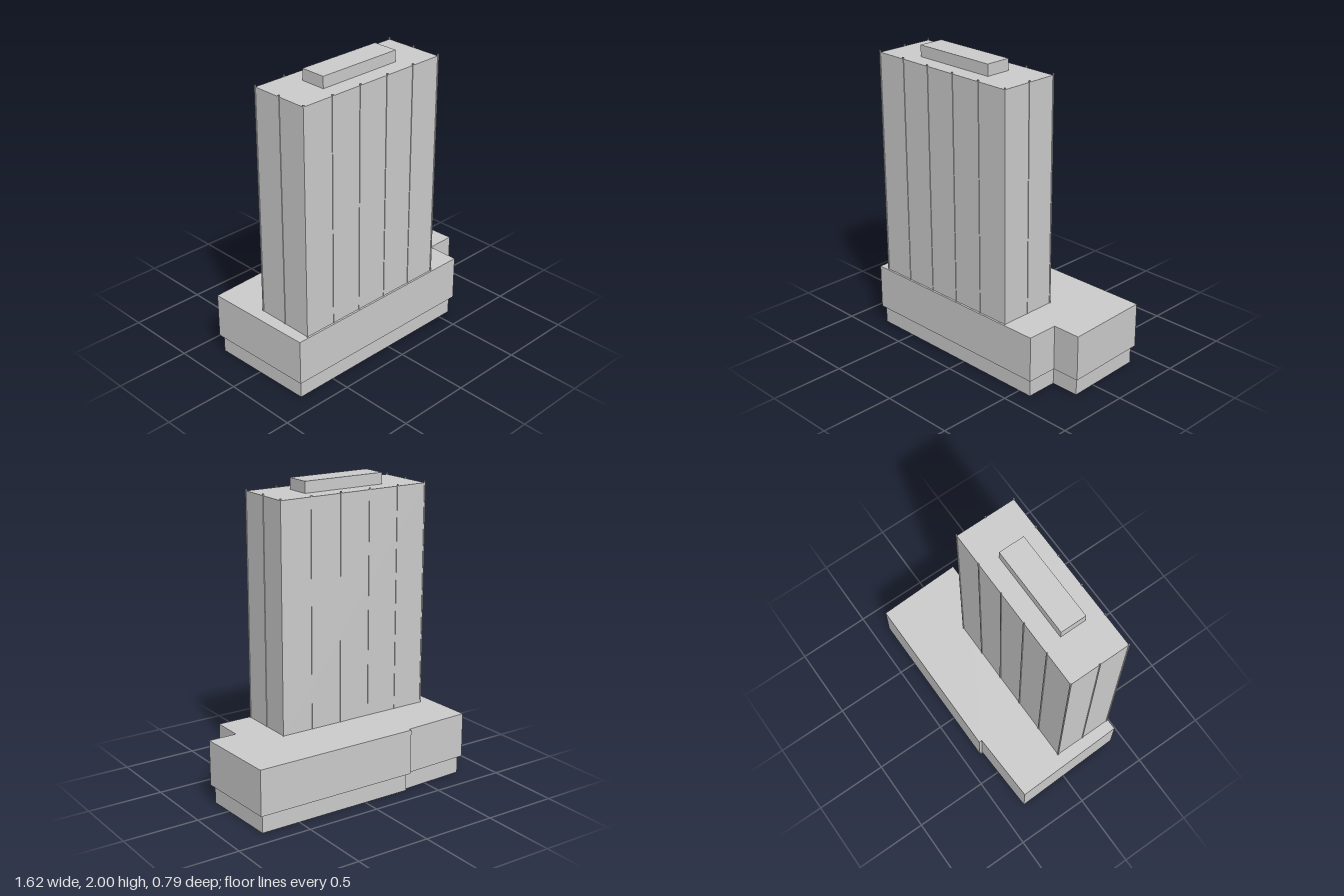
import * as THREE from 'three';

export function createModel() {
  const model = new THREE.Group();
  model.name = 'towerBuilding';

  const concrete = new THREE.MeshStandardMaterial({ color: 0xcccccc });
  concrete.name = 'light grey concrete';
  const shell = new THREE.MeshStandardMaterial({ color: 0xcccccc, side: THREE.DoubleSide });
  shell.name = 'light grey thin wall';

  function add(name, geometry, material = concrete, parent = model) {
    const mesh = new THREE.Mesh(geometry, material);
    mesh.name = name;
    parent.add(mesh);
    return mesh;
  }

  // Box given by its limits on each axis
  function block(name, [x0, x1], [y0, y1], [z0, z1], parent = model) {
    const mesh = add(name, new THREE.BoxGeometry(x1 - x0, y1 - y0, z1 - z0), concrete, parent);
    mesh.position.set((x0 + x1) / 2, (y0 + y1) / 2, (z0 + z1) / 2);
  }

  // Podium: solid slab over an irregular plan, corners as [x, z]
  const podiumPlan = [
    [-0.81, -0.36], [-0.345, -0.38], [-0.345, -0.4], [0.785, -0.4],
    [0.805, 0.18], [0.612, 0.18], [0.612, 0.393], [-0.79, 0.393],
  ];
  const outline = new THREE.Shape(podiumPlan.map(([x, z]) => new THREE.Vector2(x, -z)));
  const podium = new THREE.ExtrudeGeometry(outline, { depth: 0.302, bevelEnabled: false });
  podium.rotateX(-Math.PI / 2).translate(0, 0.12, 0);
  add('podium', podium);

  // Recessed ground floor: thin walls, open underneath
  const basePlan = [
    [-0.79, -0.341], [-0.325, -0.361], [-0.325, -0.38], [0.766, -0.38],
    [0.784, 0.161], [0.592, 0.161], [0.592, 0.373], [-0.771, 0.373],
  ];
  const corners = [];
  basePlan.forEach(([ax, az], i) => {
    const [bx, bz] = basePlan[(i + 1) % basePlan.length];
    corners.push(ax, 0, az, ax, 0.12, az, bx, 0.12, bz);
    corners.push(ax, 0, az, bx, 0.12, bz, bx, 0, bz);
  });
  const walls = new THREE.BufferGeometry();
  walls.setAttribute('position', new THREE.Float32BufferAttribute(corners, 3));
  walls.computeVertexNormals();
  add('groundFloorWalls', walls, shell);

  // Tower and rooftop plant room
  const left = -0.716, right = 0.382, back = -0.022, front = 0.38;
  block('tower', [left, right], [0.422, 1.925], [back, front]);
  block('roofPlantRoom', [-0.46, 0.13], [1.925, 2], [0.097, 0.268]);

  // Slim vertical fins on the facades, rising just past the roof
  const fins = new THREE.Group();
  fins.name = 'facadeFins';
  model.add(fins);
  const r = 0.004;
  const fin = (x, z) => block('fin', [x - r, x + r], [0.422, 1.937], [z - r, z + r], fins);
  for (let i = 0; i <= 5; i++) {
    const x = left + ((right - left) * i) / 5;
    fin(x, front);
    fin(x, back);
  }
  for (const x of [left, right]) fin(x, (front + back) / 2);

  return model;
}
